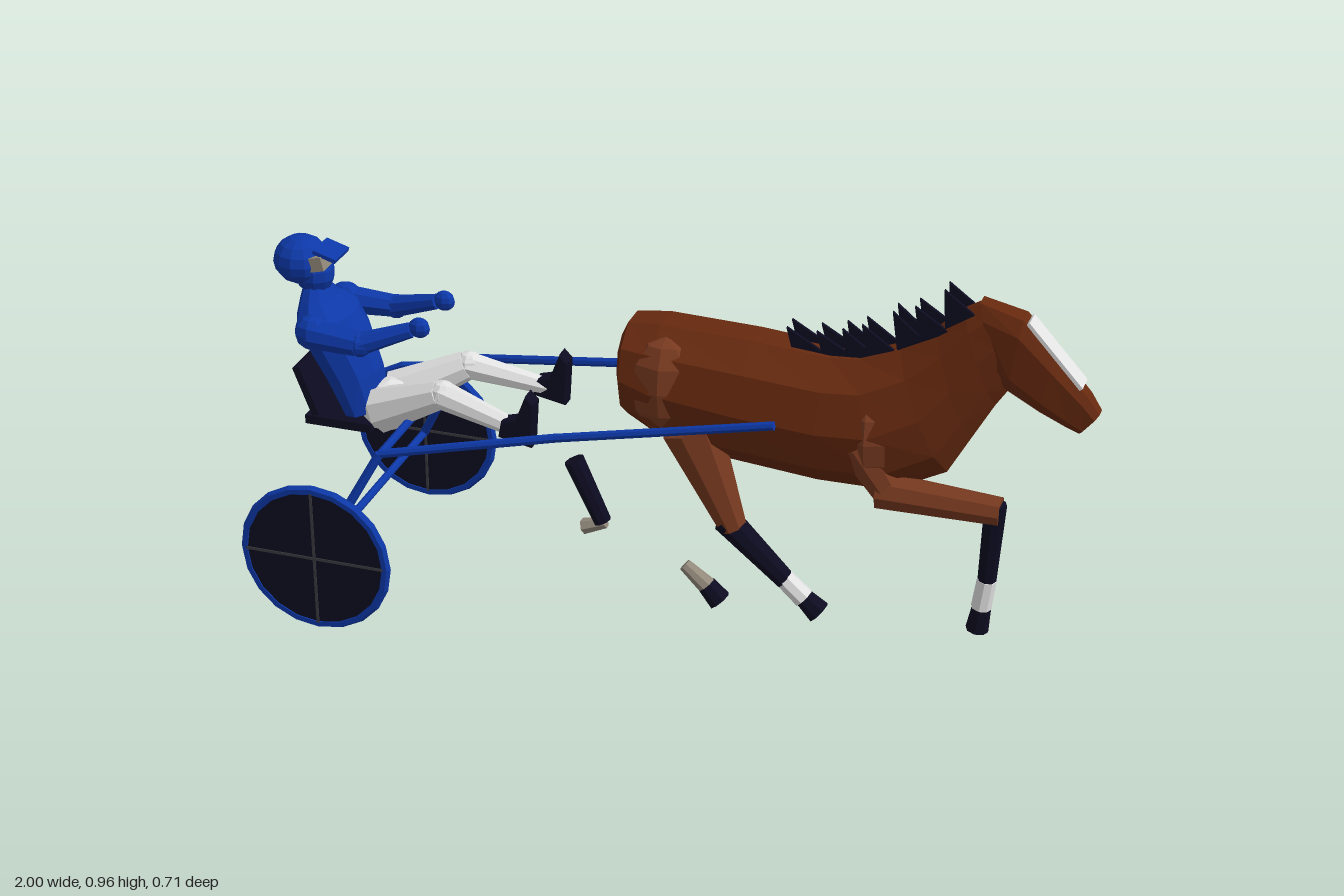
import * as THREE from 'three';

const mat = (name, color) => {
  const m = new THREE.MeshStandardMaterial({ color });
  m.name = name;
  return m;
};
const V = (p) => new THREE.Vector3(...p);

// Faceted normals without touching the material
function facet(geo) {
  const g = geo.index ? geo.toNonIndexed() : geo;
  g.computeVertexNormals();
  return g;
}

// Skin over rings; each station is [topX, topY, bottomX, bottomY, halfWidth, z]
function loft(stations, sides = 10, power = 1) {
  const pos = [], idx = [];
  const bend = (v) => Math.sign(v) * Math.pow(Math.abs(v), power);
  for (const [tx, ty, bx, by, hw, z = 0] of stations) {
    for (let j = 0; j < sides; j++) {
      const a = ((j + 0.5) / sides) * Math.PI * 2;
      const c = bend(Math.cos(a)) / bend(Math.cos(Math.PI / sides)), s = bend(Math.sin(a));
      pos.push((tx + bx) / 2 + ((tx - bx) / 2) * c, (ty + by) / 2 + ((ty - by) / 2) * c, z + hw * s);
    }
  }
  const last = stations.length - 1;
  for (let i = 0; i < last; i++) {
    for (let j = 0; j < sides; j++) {
      const a = i * sides + j, b = i * sides + ((j + 1) % sides);
      idx.push(a, b, b + sides, a, b + sides, a + sides);
    }
  }
  for (let j = 1; j < sides - 1; j++) {
    idx.push(0, j + 1, j);
    idx.push(last * sides, last * sides + j, last * sides + j + 1);
  }
  const g = new THREE.BufferGeometry();
  g.setAttribute('position', new THREE.Float32BufferAttribute(pos, 3));
  g.setIndex(idx);
  return g;
}

export function createModel() {
  const root = new THREE.Group();
  const coat = mat('chestnut', 0x66290f);
  const light = mat('light chestnut', 0x783a20);
  const dark = mat('dark navy', 0x0d0b20);
  const blue = mat('royal blue', 0x0d38a8);
  const white = mat('white', 0xe2e2e2);
  const grey = mat('warm grey', 0x938a7c);
  const steel = mat('spoke grey', 0x3a3a40);

  const add = (name, geo, material, parent = root) => {
    const m = new THREE.Mesh(facet(geo), material);
    m.name = name;
    parent.add(m);
    return m;
  };
  // Tapered rod between two points
  const rod = (name, material, a, b, r1, r2 = r1, sides = 8, parent = root) => {
    const A = V(a), B = V(b), d = B.clone().sub(A);
    const m = add(name, new THREE.CylinderGeometry(r2, r1, d.length(), sides), material, parent);
    m.position.copy(A).add(B).multiplyScalar(0.5);
    m.quaternion.setFromUnitVectors(new THREE.Vector3(0, 1, 0), d.normalize());
    return m;
  };
  const ball = (name, material, p, s, parent = root, w = 10, h = 7) => {
    const m = add(name, new THREE.SphereGeometry(1, w, h), material, parent);
    m.position.set(...p);
    m.scale.set(...s);
    return m;
  };
  const box = (name, material, p, s, rz = 0, parent = root) => {
    const m = add(name, new THREE.BoxGeometry(...s), material, parent);
    m.position.set(...p);
    m.rotation.z = rz;
    return m;
  };

  // Horse trunk and neck
  const horse = new THREE.Group();
  horse.name = 'horse';
  root.add(horse);
  add('bodyAndNeck', loft([
    [-0.12, 0.745, -0.118, 0.59, 0.065],
    [-0.1, 0.785, -0.105, 0.55, 0.105],
    [-0.02, 0.793, -0.03, 0.51, 0.123],
    [0.2, 0.785, 0.15, 0.475, 0.127],
    [0.38, 0.77, 0.36, 0.455, 0.122],
    [0.45, 0.775, 0.53, 0.455, 0.112],
    [0.54, 0.81, 0.66, 0.52, 0.085],
    [0.62, 0.865, 0.71, 0.61, 0.062],
    [0.68, 0.92, 0.76, 0.7, 0.048],
    [0.72, 0.945, 0.79, 0.745, 0.04],
  ]), coat, horse);

  // Head with a flat brow
  add('head', loft([
    [0.715, 0.948, 0.765, 0.76, 0.035],
    [0.815, 0.922, 0.79, 0.745, 0.046],
    [0.89, 0.84, 0.86, 0.705, 0.042],
    [0.97, 0.75, 0.925, 0.672, 0.032],
    [0.995, 0.712, 0.952, 0.66, 0.026],
  ], 8, 0.6), coat, horse);
  box('faceBlaze', white, [0.889, 0.845, 0], [0.19, 0.009, 0.052], Math.atan2(-0.172, 0.155), horse);

  // Mane: two rows of backswept spikes, [tipX, tipY, baseX, baseY]
  const spikes = [
    [0.275, 0.825, 0.33, 0.765], [0.345, 0.825, 0.4, 0.765], [0.405, 0.84, 0.45, 0.775],
    [0.45, 0.857, 0.5, 0.79], [0.52, 0.9, 0.565, 0.825], [0.57, 0.92, 0.615, 0.86],
    [0.635, 0.97, 0.67, 0.91],
  ];
  for (const side of [-1, 1]) {
    for (const [tx, ty, bx, by] of spikes) {
      const s = new THREE.Shape();
      s.moveTo(bx - 0.03, by - 0.035);
      s.lineTo(bx + 0.035, by + 0.008);
      s.lineTo(tx, ty);
      const m = add('maneSpike', new THREE.ExtrudeGeometry(s, { depth: 0.008, bevelEnabled: false }), dark, horse);
      m.position.z = side * 0.022 - 0.004;
    }
    // Muscle masses of haunch and shoulder
    ball('haunch', light, [0, 0.655, side * 0.062], [0.095, 0.12, 0.066], horse, 8, 6);
    ball('shoulder', light, [0.485, 0.6, side * 0.05], [0.075, 0.115, 0.066], horse, 8, 6);
  }

  // Legs on the near side
  const z = 0.058;
  const leg = (name, m, a, b, r1, r2) => rod(name, m, [a[0], a[1], z], [b[0], b[1], z], r1, r2, 8, horse);
  leg('foreShoulder', light, [0.46, 0.58], [0.535, 0.46], 0.055, 0.038);
  leg('foreArm', light, [0.51, 0.465], [0.795, 0.457], 0.045, 0.034);
  leg('foreCannon', dark, [0.783, 0.475], [0.772, 0.275], 0.026, 0.022);
  leg('foreSock', white, [0.772, 0.275], [0.762, 0.2], 0.023, 0.024);
  leg('foreHoof', dark, [0.764, 0.205], [0.755, 0.14], 0.022, 0.027);
  leg('hindThigh', light, [0.06, 0.56], [0.165, 0.305], 0.075, 0.034);
  leg('hindCannon', dark, [0.145, 0.325], [0.295, 0.185], 0.035, 0.024);
  leg('hindSock', white, [0.29, 0.19], [0.34, 0.145], 0.024, 0.026);
  leg('hindHoof', dark, [0.333, 0.152], [0.377, 0.113], 0.022, 0.03);

  // Lower legs on the far side
  const f = -0.056;
  rod('farHindCannon', dark, [-0.272, 0.352, f], [-0.2, 0.195, f], 0.026, 0.022, 8, horse);
  rod('farHindSock', grey, [-0.192, 0.193, f], [-0.25, 0.173, f], 0.014, 0.02, 6, horse);
  rod('farForeSock', grey, [0.008, 0.112, f], [0.072, 0.058, f], 0.016, 0.024, 8, horse);
  rod('farForeHoof', dark, [0.064, 0.066, f], [0.098, 0.028, f], 0.024, 0.029, 8, horse);

  // Cart
  const cart = new THREE.Group();
  cart.name = 'cart';
  root.add(cart);
  rod('axle', blue, [-0.777, 0.207, -0.335], [-0.777, 0.207, 0.335], 0.01, 0.01, 8, cart);
  rod('crossBar', blue, [-0.635, 0.467, -0.265], [-0.635, 0.467, 0.265], 0.01, 0.01, 8, cart);
  for (const s of [-1, 1]) {
    const path = [[-0.777, 0.207, s * 0.325], [-0.635, 0.47, s * 0.265], [-0.22, 0.55, s * 0.205], [0.295, 0.655, s * 0.182]];
    for (let i = 0; i < 3; i++) rod('shaft', blue, path[i], path[i + 1], 0.011, 0.011, 8, cart);

    const wheel = new THREE.Group();
    wheel.name = 'wheel';
    wheel.position.set(-0.777, 0.21, s * 0.343);
    cart.add(wheel);
    add('rim', new THREE.TorusGeometry(0.179, 0.0125, 6, 20), blue, wheel);
    add('wheelDisc', new THREE.CylinderGeometry(0.177, 0.177, 0.018, 20), dark, wheel).rotation.x = Math.PI / 2;
    box('spoke', steel, [0, 0, 0], [0.35, 0.007, 0.022], 0, wheel);
    box('spoke', steel, [0, 0, 0], [0.007, 0.35, 0.022], 0, wheel);
  }
  box('seat', dark, [-0.825, 0.425, 0], [0.17, 0.022, 0.16], 0, cart);
  box('backrest', dark, [-0.905, 0.5, 0], [0.018, 0.13, 0.16], 0.36, cart);

  // Driver
  const driver = new THREE.Group();
  driver.name = 'driver';
  root.add(driver);
  add('jacket', loft([
    [-0.83, 0.435, -0.73, 0.46, 0.075],
    [-0.875, 0.53, -0.745, 0.55, 0.085],
    [-0.92, 0.62, -0.775, 0.64, 0.1],
    [-0.938, 0.68, -0.805, 0.69, 0.105],
    [-0.932, 0.72, -0.85, 0.725, 0.065],
    [-0.925, 0.755, -0.87, 0.755, 0.035],
  ]), blue, driver);
  ball('hips', white, [-0.72, 0.46, 0], [0.068, 0.062, 0.085], driver);
  ball('helmet', blue, [-0.932, 0.812, 0], [0.068, 0.06, 0.066], driver, 12, 8);
  ball('face', blue, [-0.9, 0.783, 0], [0.05, 0.055, 0.046], driver);
  box('goggles', grey, [-0.876, 0.822, 0], [0.036, 0.035, 0.092], 0.25, driver);
  box('visor', blue, [-0.855, 0.843, 0], [0.06, 0.01, 0.08], -0.3, driver);
  for (const s of [-1, 1]) {
    const p = (x, y, w) => [x, y, s * w];
    // Arm
    ball('shoulderPad', blue, p(-0.868, 0.672, 0.1), [0.045, 0.043, 0.036], driver, 8, 6);
    rod('upperArm', blue, p(-0.865, 0.67, 0.102), p(-0.745, 0.665, 0.112), 0.037, 0.029, 8, driver);
    ball('elbow', blue, p(-0.742, 0.665, 0.111), [0.03, 0.03, 0.028], driver, 8, 6);
    rod('foreArm', blue, p(-0.745, 0.665, 0.11), p(-0.622, 0.708, 0.082), 0.028, 0.019, 8, driver);
    ball('hand', blue, p(-0.602, 0.715, 0.078), [0.027, 0.025, 0.02], driver, 8, 6);
    // Leg and boot
    rod('thigh', white, p(-0.72, 0.465, 0.045), p(-0.55, 0.55, 0.082), 0.058, 0.036, 8, driver);
    ball('knee', white, p(-0.546, 0.55, 0.083), [0.037, 0.036, 0.034], driver, 8, 6);
    rod('shin', white, p(-0.55, 0.55, 0.083), p(-0.355, 0.508, 0.113), 0.035, 0.021, 8, driver);
    const boot = new THREE.Shape([[-0.385, 0.492], [-0.31, 0.477], [-0.303, 0.585], [-0.318, 0.602], [-0.342, 0.538], [-0.378, 0.528]]
      .map(([x, y]) => new THREE.Vector2(x, y)));
    const b = add('boot', new THREE.ExtrudeGeometry(boot, {
      depth: 0.034, bevelEnabled: true, bevelSize: 0.004, bevelThickness: 0.005, bevelSegments: 1,
    }), dark, driver);
    b.position.z = s * 0.115 - 0.017;
  }
  return root;
}
